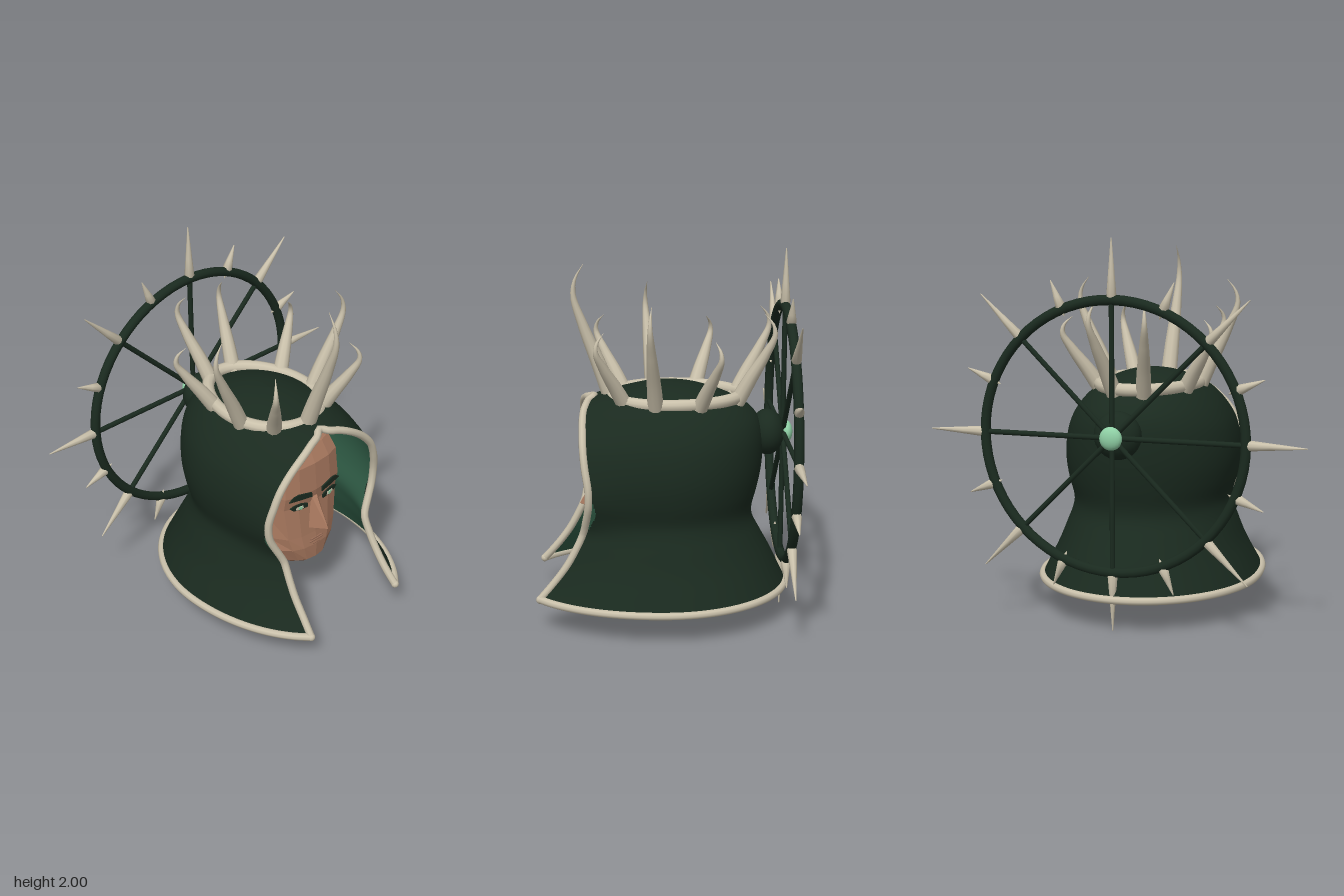
import * as THREE from 'three';

const mat = (name, color, extra = {}) => new THREE.MeshStandardMaterial({ name, color, ...extra });
const V = (x, y, z) => new THREE.Vector3(x, y, z);

export function createModel() {
  const cloth = mat('darkGreen', 0x1a2a1f, { side: THREE.DoubleSide });
  const lining = mat('liningGreen', 0x2f5b45, { side: THREE.DoubleSide });
  const bone = mat('bone', 0xcac1ab, { side: THREE.DoubleSide });
  const skin = mat('skin', 0xaa7a60, { flatShading: true, side: THREE.DoubleSide });
  const lip = mat('lip', 0x986c56);
  const gem = mat('paleGreen', 0x8fd0a5);

  const model = new THREE.Group();
  model.name = 'hoodedHead';
  const add = (name, geo, m, parent = model) => {
    const mesh = new THREE.Mesh(geo, m);
    mesh.name = name;
    parent.add(mesh);
    return mesh;
  };
  const group = (name) => {
    const g = new THREE.Group();
    g.name = name;
    model.add(g);
    return g;
  };

  // Hood levels: height, half width, back z, half width of opening, front z
  const levels = [
    [.17, .585, -.665, .325, .68], [.25, .545, -.625, .315, .61], [.35, .495, -.575, .31, .535],
    [.45, .455, -.52, .305, .48], [.53, .425, -.48, .305, .445], [.6, .415, -.475, .335, .43],
    [.7, .44, -.5, .38, .415], [.8, .455, -.52, .39, .415], [.9, .452, -.53, .37, .43],
    [1, .43, -.53, .33, .44], [1.08, .39, -.51, .26, .442], [1.14, .343, -.465, .18, .44],
    [1.18, .3, -.41, .1, .425], [1.21, .26, -.35, 0, .38], [1.245, .2, -.26, 0, .24],
    [1.275, .11, -.15, 0, .12], [1.29, .001, -.001, 0, .001],
  ];
  const spline = (f) => new THREE.CatmullRomCurve3(levels.map(f), false, 'catmullrom');
  const sides = spline(([y, w, zb]) => V(w, y, zb));
  const fronts = spline(([y, , , xo, zf]) => V(xo, y, zf));
  // v runs up the hood, u runs from the left opening edge (-1) round the back to the right (1)
  const hoodPoint = (v, u, shrink = 0) => {
    const s = sides.getPoint(v), f = fronts.getPoint(v);
    const w = Math.max(s.x, .001);
    const a0 = Math.acos(THREE.MathUtils.clamp(f.x / w, 0, 1));
    const a = THREE.MathUtils.lerp(-Math.PI / 2, a0, Math.abs(u));
    const depth = a > 0 ? f.z / Math.sin(a0) : -s.z;
    const k = 1 - shrink * (1 - u * u);
    return V(-Math.sign(u) * w * Math.cos(a) * k, s.y - shrink * v * .2, depth * Math.sin(a) * k);
  };
  const rows = 64, cols = 64;
  const hoodGeometry = (inside) => {
    const pos = [], idx = [];
    for (let i = 0; i <= rows; i++)
      for (let j = 0; j <= cols; j++)
        pos.push(...hoodPoint(i / rows, j / cols * 2 - 1, inside ? .05 : 0).toArray());
    for (let i = 0; i < rows; i++)
      for (let j = 0; j < cols; j++) {
        const a = i * (cols + 1) + j, b = a + 1, c = a + cols + 1, d = c + 1;
        idx.push(...(inside ? [a, c, b, b, c, d] : [a, b, c, b, d, c]));
      }
    const g = new THREE.BufferGeometry();
    g.setAttribute('position', new THREE.Float32BufferAttribute(pos, 3));
    g.setIndex(idx);
    g.computeVertexNormals();
    return g;
  };
  add('hood', hoodGeometry(false), cloth);
  add('hoodLining', hoodGeometry(true), lining);

  // Trim along the opening and the hem
  const edge = [], hem = [], apex = 13 / 16;
  for (let i = 0; i <= 26; i++) edge.push(hoodPoint(apex * i / 26, -1));
  for (let i = 25; i >= 0; i--) edge.push(hoodPoint(apex * i / 26, 1));
  for (let i = 0; i <= 40; i++) hem.push(hoodPoint(0, i / 20 - 1));
  for (const [name, pts] of [['openingTrim', edge], ['hemTrim', hem]])
    add(name, new THREE.TubeGeometry(new THREE.CatmullRomCurve3(pts), 120, .021, 8), bone);
  for (const u of [-1, 1])
    add('trimEnd', new THREE.SphereGeometry(.022, 10, 8), bone).position.copy(hoodPoint(0, u));

  // Crown band (egg-shaped) and curved thorns
  const crown = group('crown');
  const bandPoint = (a, y) => V(.258 * Math.sin(a) * (1 + .1 * Math.cos(a)), y, -.06 + .345 * Math.cos(a));
  const band = Array.from({ length: 24 }, (_, i) => bandPoint(i / 24 * Math.PI * 2, 1.212));
  add('crownBand', new THREE.TubeGeometry(new THREE.CatmullRomCurve3(band, true), 72, .034, 10, true), bone, crown);
  const thornGeometry = (curve, r) => {
    const n = 24, k = 10, g = new THREE.TubeGeometry(curve, n, r, k);
    const p = g.attributes.position, v = V();
    for (let i = 0; i <= n; i++) {
      const c = curve.getPointAt(i / n), s = Math.max(.03, 1 - (i / n) ** 1.6);
      for (let j = 0; j <= k; j++) {
        const q = i * (k + 1) + j;
        v.fromBufferAttribute(p, q).sub(c).multiplyScalar(s).add(c);
        p.setXYZ(q, v.x, v.y, v.z);
      }
    }
    return g;
  };
  // Thorns from the front to the back: angle on the band in degrees, height
  const thorns = [[0, .74], [37, .42], [70, .58], [109, .39], [160, .49]];
  for (let i = -4; i <= 4; i++) {
    const [deg, h] = thorns[Math.abs(i)], a = i * Math.PI * 2 / 9;
    const base = bandPoint(THREE.MathUtils.degToRad(deg) * Math.sign(i), 1.19);
    const out = V(Math.sin(a), 0, Math.cos(a)), r0 = i ? .042 : .046;
    const path = [[0, 0], [.065, .25], [.15, .55], [.2, .77], [.19, .89], [.145, 1]]
      .map(([r, t]) => base.clone().addScaledVector(out, r).add(V(0, t * (h - .01), 0)));
    add('thorn', thornGeometry(new THREE.CatmullRomCurve3(path), r0), bone, crown);
    add('thornRoot', new THREE.SphereGeometry(r0, 10, 8), bone, crown).position.copy(base);
  }

  // Spiked wheel behind the head
  const wheel = group('wheel');
  wheel.position.set(0, 1, -.64);
  add('wheelRing', new THREE.TorusGeometry(.692, .026, 10, 72), cloth, wheel);
  const spike = (inner, wide, tip, r) => new THREE.LatheGeometry(
    [[0, inner], [r, wide], [r * .68, wide + (tip - wide) * .35], [.003, tip - .004], [0, tip]]
      .map(([x, y]) => new THREE.Vector2(x, y)), 8);
  const longSpike = spike(.66, .712, 1, .027), shortSpike = spike(.65, .71, .85, .027);
  const spoke = new THREE.CylinderGeometry(.014, .014, .69, 8).translate(0, .345, 0);
  for (let i = 0; i < 16; i++) {
    const turn = i * Math.PI / 8;
    add('wheelSpike', i % 2 ? shortSpike : longSpike, bone, wheel).rotation.z = turn;
    if (i % 2 === 0) add('wheelSpoke', spoke, cloth, wheel).rotation.z = turn;
  }
  const mount = add('wheelMount', new THREE.SphereGeometry(.125, 24, 16), cloth, wheel);
  mount.position.z = .085;
  mount.scale.z = .75;
  const hub = add('hubGem', new THREE.SphereGeometry(.06, 20, 14), gem, wheel);
  hub.position.z = -.02;
  hub.scale.z = .55;

  // Faceted head from cross-sections: height, half width, front z, back z
  const head = group('head');
  const sections = [
    [.33, .1, .335, .14], [.37, .14, .375, .09], [.46, .2, .38, .02], [.54, .232, .37, -.12],
    [.74, .262, .355, -.28], [.82, .265, .37, -.3], [.98, .258, .355, -.28],
    [1.06, .235, .31, -.24], [1.1, .185, .26, -.18],
  ];
  const ringOf = ([y, w, f, b]) => {
    const half = [[.42, f - .008], [.73, f - .035], [1, f - (f - b) * .26], [1, f - (f - b) * .6], [.6, b + (f - b) * .1]];
    const left = half.map(([k, z]) => [w * k, y, z]);
    const right = left.map(([x, yy, z]) => [-x, yy, z]).reverse();
    return [[0, y, f], ...left, [0, y, b], ...right];
  };
  const pos = sections.flatMap((s) => ringOf(s).flat()), idx = [], m = 12;
  for (let i = 0; i < sections.length - 1; i++)
    for (let j = 0; j < m; j++) {
      const a = i * m + j, b = i * m + (j + 1) % m;
      idx.push(a, b, a + m, b, b + m, a + m);
    }
  const last = (sections.length - 1) * m;
  for (let j = 1; j < m - 1; j++) idx.push(0, j + 1, j, last, last + j, last + j + 1);
  const facet = (points, index) => {
    const g = new THREE.BufferGeometry();
    g.setAttribute('position', new THREE.Float32BufferAttribute(points, 3));
    g.setIndex(index);
    g.computeVertexNormals();
    return g;
  };
  add('face', facet(pos, idx), skin, head);

  // Nose: bridge, nostrils, tip
  add('nose', facet([
    -.022, .78, .35, .022, .78, .35, 0, .77, .378, -.05, .58, .355, .05, .58, .355,
    0, .605, .466, 0, .565, .37,
  ], [0, 2, 1, 0, 3, 5, 0, 5, 2, 1, 5, 4, 1, 2, 5, 3, 6, 5, 6, 4, 5]), skin, head);

  // Thin face details and ears on both sides
  const plate = (pts, s) => new THREE.ExtrudeGeometry(
    new THREE.Shape(pts.map(([x, y]) => new THREE.Vector2(x * s, y))), { depth: .008, bevelEnabled: false });
  for (const s of [1, -1]) {
    const detail = (name, pts, m2, y, z) => {
      const d = add(name, plate(pts, s), m2, head);
      d.position.set(s * .11, y, z);
      d.rotation.y = s * .14;
    };
    detail('eyebrow', [[-.075, -.02], [-.072, .008], [.01, .024], [.045, .02], [.075, -.004], [.04, -.008], [-.01, -.014]], cloth, .812, .36);
    detail('eyeLid', [[-.055, -.02], [-.055, .002], [-.01, .016], [.035, .016], [.062, .006], [.04, -.014], [0, -.022]], cloth, .75, .35);
    detail('eyeWhite', [[-.024, -.012], [-.02, .004], [.022, .004], [.026, -.01], [0, -.015]], bone, .748, .354);
    detail('iris', [[-.012, -.013], [-.012, .004], [.008, .004], [.008, -.013]], gem, .748, .357);
    const ear = add('ear', new THREE.CylinderGeometry(.055, .035, .18, 6), skin, head);
    ear.position.set(s * .27, .69, .08);
    ear.scale.x = .5;
  }
  for (const [w, y] of [[.085, .502], [.095, .487], [.05, .468]])
    add('mouth', new THREE.BoxGeometry(w, .006, .008), lip, head).position.set(0, y, .376);

  return model;
}
